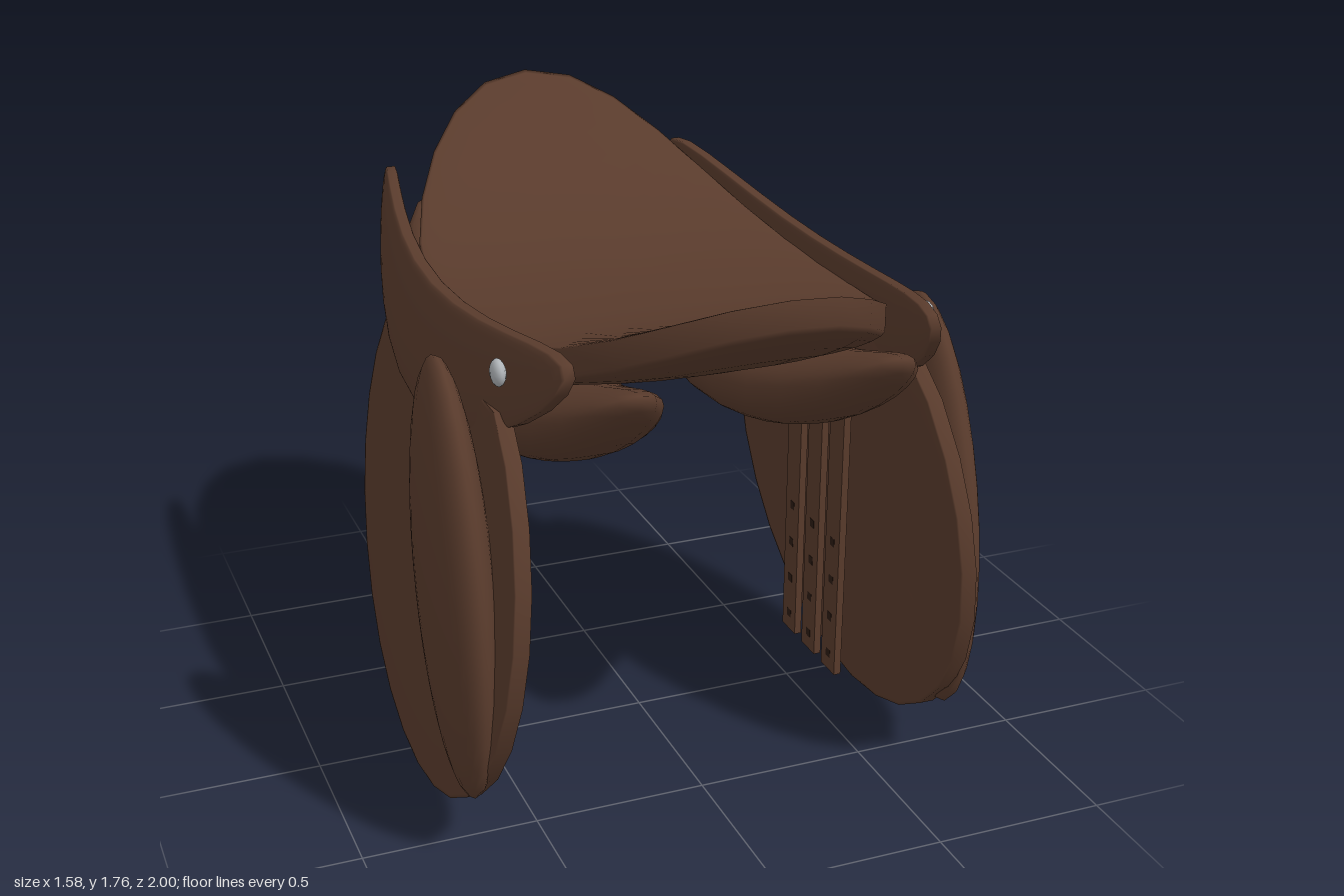
import * as THREE from 'three';
import { mergeVertices } from 'three/addons/utils/BufferGeometryUtils.js';

// Smooth unit disc pad: round in X/Z, thickness along Y, with a rim of the given
// relative thickness; every vertex is then placed by the rule map(x, y, z).
function padGeometry(rim, map) {
  const profile = [];
  const steps = 10;
  for (const side of [-1, 1]) {
    for (let i = 0; i <= steps; i++) {
      const a = (side < 0 ? i : steps - i) / steps * Math.PI / 2;
      profile.push(new THREE.Vector2(Math.sin(a), side * (rim + (1 - rim) * Math.cos(a))));
    }
  }
  let geo = new THREE.LatheGeometry(profile, 28);
  geo.deleteAttribute('uv');
  geo.deleteAttribute('normal');
  const p = geo.attributes.position;
  for (let i = 0; i < p.count; i++) p.setXYZ(i, ...map(p.getX(i), p.getY(i), p.getZ(i)));
  geo = mergeVertices(geo, 1e-5);
  geo.computeVertexNormals();
  return geo;
}

export function createModel() {
  const model = new THREE.Group();
  model.name = 'saddle';

  const leather = new THREE.MeshStandardMaterial({ color: 0x593b2c });
  leather.name = 'brown leather';
  const metal = new THREE.MeshStandardMaterial({ color: 0xb0b4b8 });
  metal.name = 'steel';
  const dark = new THREE.MeshStandardMaterial({ color: 0x2a1a12 });
  dark.name = 'dark hole';

  function add(name, geo, mat, parent = model) {
    const mesh = new THREE.Mesh(geo, mat);
    mesh.name = name;
    parent.add(mesh);
    return mesh;
  }

  // Seat: full oval, nearly flat across the top and deeper below,
  // rising to a low pommel and a higher cantle
  const seatRim = 0.35;
  add('seat', padGeometry(seatRim, (x, y, z) => {
    const rise = z > 0 ? 0.285 * z ** 2.4 : 0.405 * Math.abs(z) ** 2.3;
    const height = y > 0 ? 0.037 + (y - seatRim) * 0.035 : y * 0.105;
    return [Math.sign(x) * Math.abs(x) ** 0.93 * 0.57, 1.315 + rise + height, z];
  }), leather);

  for (const s of [1, -1]) {
    const side = new THREE.Group();
    side.name = s > 0 ? 'leftSide' : 'rightSide';
    model.add(side);

    // Underside panel, curling up at both ends
    add('panel', padGeometry(0, (x, y, z) => [
      s * 0.35 + x * 0.215, 1.097 + 0.3 * z * z + y * 0.13, z * 0.92,
    ]), leather, side);

    // Skirt over the top of the flap, bending in at both ends
    add('skirt', padGeometry(0.4, (u, t, v) => [
      s * (0.605 - (u > 0 ? 0.11 : 0.13) * u * u - 0.03 * v) + t * 0.034,
      1.25 + (u > 0 ? 0.19 : 0.24) * u * u + v * 0.17,
      -0.05 + u * 0.87,
    ]), leather, side);

    // Large flap, splayed outwards at the bottom, cut straight under the skirt
    add('flap', padGeometry(0.7, (u, t, v) => {
      const h = Math.min(v, 0.76);
      return [s * (0.637 - 0.071 * h) + t * 0.03, 0.72 + h * 0.72, 0.085 + u * 0.745];
    }), leather, side);

    // Knee block leaning forward at the bottom
    add('kneeBlock', padGeometry(0, (u, t, v) => [
      s * (0.705 - 0.005 * v) + t * 0.087,
      0.775 + v * 0.595,
      0.468 + u * 0.245 - v * 0.1,
    ]), leather, side);

    // Round stud on the front of the skirt
    const stud = add('stud', new THREE.SphereGeometry(1, 12, 8), metal, side);
    stud.scale.set(0.02, 0.036, 0.036);
    stud.position.set(s * 0.6, 1.385, 0.575);

    // Three girth straps with punched holes
    for (let i = -1; i <= 1; i++) {
      const z = 0.05 + i * 0.14;
      const strap = add('girthStrap', new THREE.BoxGeometry(0.022, 1.14, 0.09), leather, side);
      strap.position.set(s * 0.557, 0.68, z);
      for (let h = 0; h < 4; h++) {
        const hole = add('strapHole', new THREE.BoxGeometry(0.024, 0.026, 0.026), dark, side);
        hole.position.set(s * 0.557, 0.165 + h * 0.125, z);
      }
    }
  }
  return model;
}
